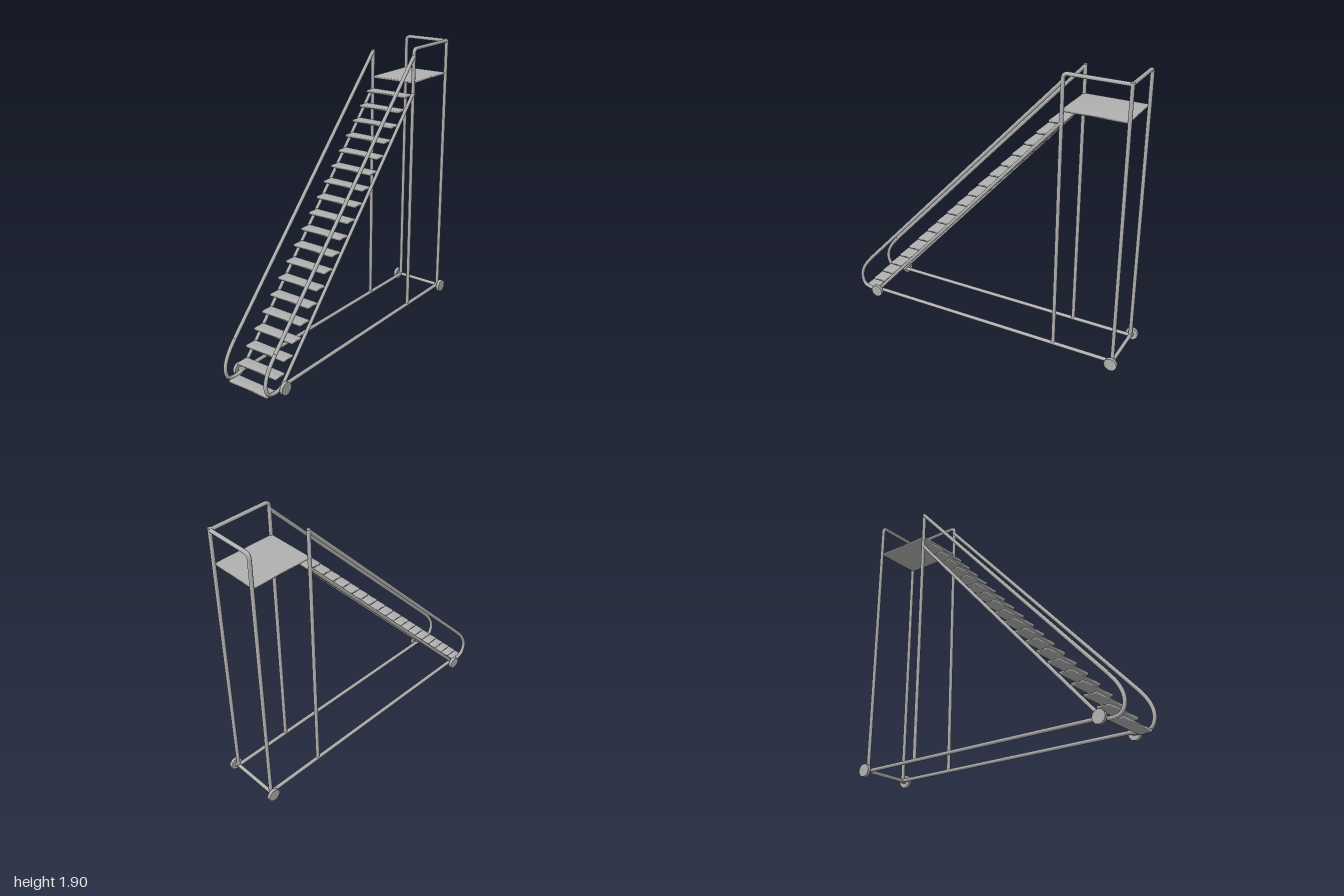
import * as THREE from 'three';
import { mergeVertices } from 'three/addons/utils/BufferGeometryUtils.js';

const R = 0.0125;          // tube radius
const SIDE = 0.163;        // z of the side frames
const FRONT_X = 0.54, REAR_X = 0.953, FOOT_X = -0.842;
const BASE_Y = 0.046, TOP_Y = 1.888, BEND = 0.032;

export function createModel() {
  const steel = new THREE.MeshStandardMaterial({ color: 0xb0b0b0 });
  steel.name = 'greySteel';
  const model = new THREE.Group();
  model.name = 'rollingStaircase';
  const V = (x, y, z) => new THREE.Vector3(x, y, z);

  const add = (name, geometry) => {
    const mesh = new THREE.Mesh(geometry, steel);
    mesh.name = name;
    model.add(mesh);
    return mesh;
  };

  // Straight tube between two points
  const bar = (name, a, b, radius = R) => {
    const dir = b.clone().sub(a);
    const mesh = add(name, new THREE.CylinderGeometry(radius, radius, dir.length(), 12));
    mesh.position.copy(a).add(b).multiplyScalar(0.5);
    mesh.quaternion.setFromUnitVectors(V(0, 1, 0), dir.normalize());
  };

  // Bent tube along a curve
  const bend = (name, curve, segments) =>
    add(name, new THREE.TubeGeometry(curve, segments, R, 12));

  // Thin plate with normals blended over its edges
  const plate = (name, w, h, d, x, y) => {
    let g = new THREE.BoxGeometry(w, h, d);
    g.deleteAttribute('normal');
    g.deleteAttribute('uv');
    g = mergeVertices(g);
    g.computeVertexNormals();
    add(name, g).position.set(x, y, 0);
  };

  // Treads, the lowest just above the floor
  for (let i = 0; i < 19; i++) {
    plate('tread', 0.084, 0.015, 0.31, -0.927 + i * 0.0792, 0.027 + i * 0.0863);
  }

  // Platform
  plate('platform', 0.41, 0.013, 0.325, 0.742, 1.664);

  for (const s of [1, -1]) {
    const z = s * SIDE;
    bar('baseRail', V(FOOT_X, BASE_Y, z), V(REAR_X, BASE_Y, z));
    bar('stringer', V(FOOT_X, BASE_Y, z), V(FRONT_X, 1.592, z), 0.0115);

    // Handrail with a rounded return at the foot
    const foot = V(-0.895, 0.288, z);
    bar('handrail', foot, V(FRONT_X, 1.842, z));
    bend('handrailReturn', new THREE.CatmullRomCurve3([
      foot, V(-0.952, 0.215, z), V(-0.982, 0.15, z), V(-0.985, 0.095, z),
      V(-0.964, 0.05, z), V(-0.92, 0.034, z), V(-0.875, 0.035, z), V(FOOT_X, BASE_Y, z),
    ]), 32);

    // Wheels with short hubs
    for (const x of [FOOT_X, REAR_X + 0.001]) {
      const y = 0.044;
      bar('wheelHub', V(x, y, z), V(x, y, s * 0.19), 0.016);
      bar('wheel', V(x, y, s * 0.181), V(x, y, s * 0.202), 0.0435);
    }
  }

  // Platform posts
  bar('frontPost', V(FRONT_X, BASE_Y, SIDE), V(FRONT_X, TOP_Y - BEND, SIDE));
  bar('frontPost', V(FRONT_X, BASE_Y, -SIDE), V(FRONT_X, 1.852, -SIDE));
  bar('rearPost', V(REAR_X, BASE_Y, SIDE), V(REAR_X, TOP_Y + R, SIDE));
  bar('rearPost', V(REAR_X, BASE_Y, -SIDE), V(REAR_X, TOP_Y - BEND, -SIDE));

  // Guard rail along one side and the end
  bend('guardRailBend', new THREE.QuadraticBezierCurve3(
    V(FRONT_X, TOP_Y - BEND, SIDE), V(FRONT_X, TOP_Y, SIDE), V(FRONT_X + BEND, TOP_Y, SIDE)), 10);
  bar('sideGuardRail', V(FRONT_X + BEND, TOP_Y, SIDE), V(REAR_X, TOP_Y, SIDE));
  bar('endGuardRail', V(REAR_X, TOP_Y, SIDE), V(REAR_X, TOP_Y, -SIDE + BEND));
  bend('guardRailBend', new THREE.QuadraticBezierCurve3(
    V(REAR_X, TOP_Y, -SIDE + BEND), V(REAR_X, TOP_Y, -SIDE), V(REAR_X, TOP_Y - BEND, -SIDE)), 10);

  // Cross bar at the rear of the base
  bar('rearCrossBar', V(REAR_X, BASE_Y, SIDE), V(REAR_X, BASE_Y, -SIDE));

  return model;
}
